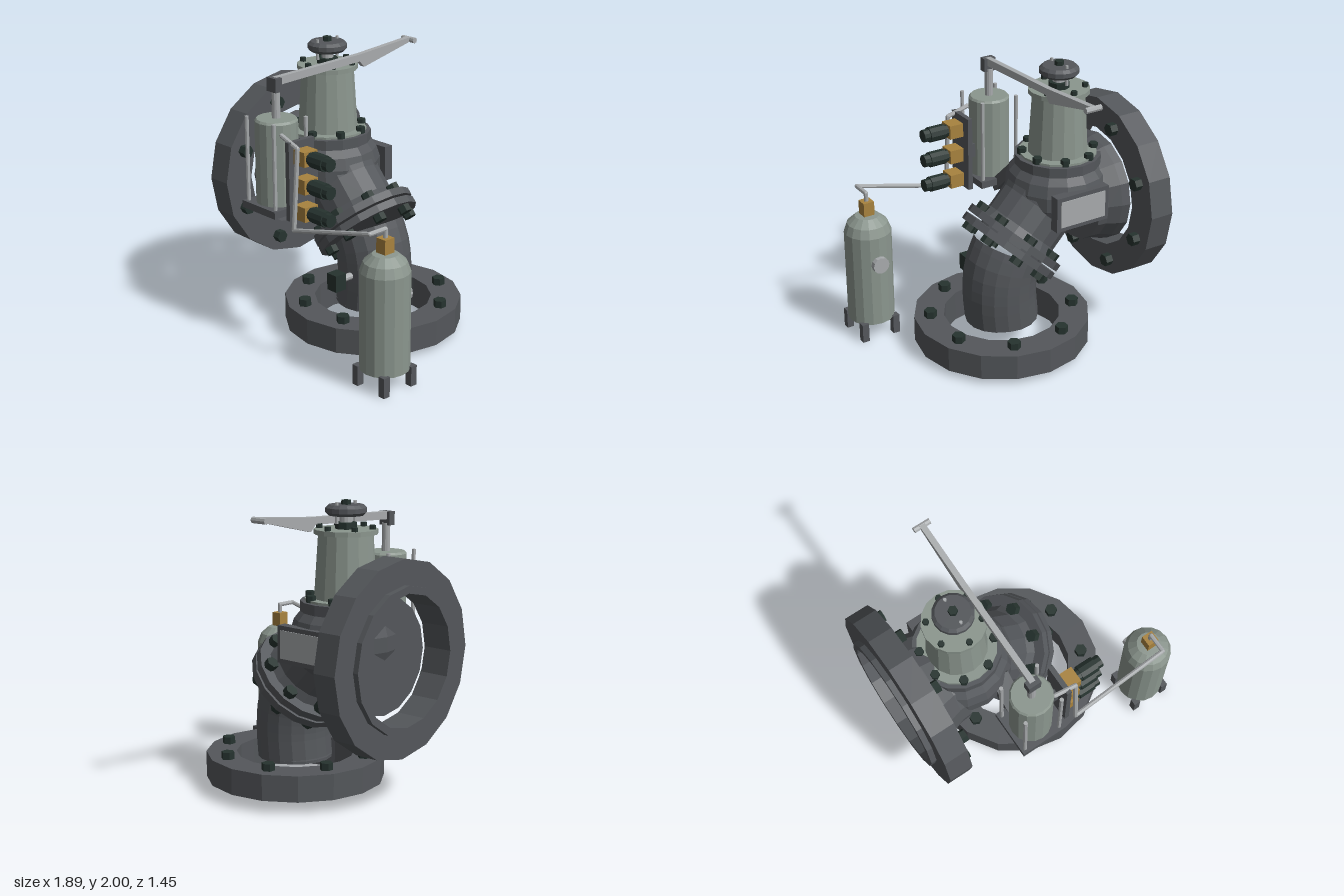
import * as THREE from 'three';

const mat = (name, color) => {
  const m = new THREE.MeshStandardMaterial({ color });
  m.name = name;
  return m;
};

export function createModel() {
  const steel = mat('darkSteel', 0x54575b);
  const green = mat('paleGreen', 0x8b968e);
  const black = mat('boltBlack', 0x26332f);
  const brass = mat('brass', 0xa8833f);
  const light = mat('brightMetal', 0xa8abad);
  const root = new THREE.Group();
  root.name = 'pipeValve';
  const CZ = -0.065, BX = -0.407;

  // faceted mesh helper
  const add = (parent, name, geo, material, x = 0, y = 0, z = 0) => {
    const g = geo.index ? geo.toNonIndexed() : geo;
    g.computeVertexNormals();
    const m = new THREE.Mesh(g, material);
    m.name = name;
    m.position.set(x, y, z);
    parent.add(m);
    return m;
  };
  const group = (name, x, y, z, rotZ = 0) => {
    const g = new THREE.Group();
    g.name = name;
    g.position.set(x, y, z);
    g.rotation.z = rotZ;
    root.add(g);
    return g;
  };
  const box = (p, n, m, w, h, d, x, y, z) => add(p, n, new THREE.BoxGeometry(w, h, d), m, x, y, z);
  // cylinder standing from y0 to y1
  const cyl = (p, n, m, r0, r1, y0, y1, x = 0, z = 0, seg = 16) =>
    add(p, n, new THREE.CylinderGeometry(r1, r0, y1 - y0, seg), m, x, (y0 + y1) / 2, z);
  const lathe = (p, n, m, pts, x = 0, y = 0, z = 0) =>
    add(p, n, new THREE.LatheGeometry(pts.map(a => new THREE.Vector2(...a)), 16), m, x, y, z);
  const ring = (p, n, m, ri, ro, y0, y1) =>
    lathe(p, n, m, [[ri, y0], [ro, y0], [ro, y1], [ri, y1], [ri, y0]]);
  const bolts = (p, n, count, R, size, y0, y1, phase) => {
    for (let i = 0; i < count; i++) {
      const a = phase + i * 2 * Math.PI / count;
      cyl(p, n, black, size, size, y0, y1, R * Math.sin(a), R * Math.cos(a), 6);
    }
  };
  const tube = (p, n, m, pts, r) => {
    const path = new THREE.CurvePath();
    const v = pts.map(a => new THREE.Vector3(...a));
    for (let i = 1; i < v.length; i++) path.add(new THREE.LineCurve3(v[i - 1], v[i]));
    path.curves.forEach(c => add(p, n, new THREE.TubeGeometry(c, 1, r, 8), m));
    v.forEach(q => add(p, n + 'Joint', new THREE.SphereGeometry(r, 8, 6), m, q.x, q.y, q.z));
  };

  // large pipe flanges with raised faces
  const flange = (g, ro, ri, rf, t) => {
    ring(g, 'flangeRing', steel, ri, ro, 0, t);
    ring(g, 'raisedFace', steel, ri, rf, t, t + 0.04);
  };
  const bottom = group('bottomFlange', 0.05, 0.22, CZ, Math.PI);
  flange(bottom, 0.62, 0.41, 0.455, 0.18);
  bolts(bottom, 'flangeBolt', 8, 0.505, 0.045, -0.05, 0.01, Math.PI / 8);
  const side = group('inletFlange', -0.73, 1.005, CZ, Math.PI / 2);
  flange(side, 0.66, 0.44, 0.49, 0.175);
  bolts(side, 'flangeBolt', 8, 0.545, 0.045, -0.055, 0.01, Math.PI / 8);

  // inlet neck and valve body
  lathe(side, 'inletNeck', steel, [[0, -0.2], [0.35, -0.2], [0.355, -0.13], [0.385, -0.04], [0.395, 0.02], [0, 0.02]]);
  lathe(root, 'valveBody', steel, [[0, 0.79], [0.2, 0.82], [0.32, 0.92], [0.365, 1.04], [0.365, 1.14],
    [0.34, 1.22], [0.3, 1.27], [0.3, 1.34], [0, 1.34]], BX, 0, CZ);

  // outlet elbow
  const bend = new THREE.CatmullRomCurve3([[0.052, 0.2], [0.068, 0.4], [0.05, 0.58], [-0.01, 0.715]]
    .map(([x, y]) => new THREE.Vector3(x, y, CZ)));
  add(root, 'outletElbow', new THREE.TubeGeometry(bend, 8, 0.258, 18), steel);
  cyl(root, 'elbowEnd', steel, 0.258, 0.258, 0.19, 0.21, 0.052, CZ, 18);

  // slanted bolted joint
  const joint = group('slantedJoint', -0.03, 0.745, CZ, 0.75);
  cyl(joint, 'lowerJointFlange', steel, 0.375, 0.375, -0.06, -0.008);
  cyl(joint, 'upperJointFlange', steel, 0.375, 0.375, 0.008, 0.06);
  cyl(joint, 'jointGasket', steel, 0.25, 0.25, -0.01, 0.01);
  lathe(joint, 'slantedNeck', steel, [[0.3, 0.05], [0.27, 0.12], [0.27, 0.3], [0.3, 0.42], [0, 0.46]]);
  bolts(joint, 'jointBolt', 8, 0.31, 0.045, -0.11, -0.05, Math.PI / 8);
  bolts(joint, 'jointBolt', 8, 0.31, 0.045, 0.05, 0.11, Math.PI / 8);

  // bonnet, stem and handwheel
  const top = group('bonnetAssembly', BX, 0, CZ);
  bolts(top, 'bodyBolt', 8, 0.25, 0.032, 1.33, 1.385, Math.PI / 8);
  cyl(top, 'bonnetBase', green, 0.27, 0.27, 1.335, 1.355);
  cyl(top, 'bonnet', green, 0.208, 0.182, 1.35, 1.78);
  cyl(top, 'bonnetTop', green, 0.212, 0.212, 1.78, 1.812);
  bolts(top, 'bonnetBolt', 6, 0.177, 0.022, 1.81, 1.84, 0);
  cyl(top, 'stemNut', black, 0.072, 0.072, 1.81, 1.855, 0, 0, 8);
  cyl(top, 'stem', light, 0.042, 0.042, 1.85, 1.92, 0, 0, 12);
  lathe(top, 'handwheel', steel, [[0, 1.9], [0.115, 1.9], [0.136, 1.92], [0.136, 1.95], [0.115, 1.97], [0, 1.97]]);
  cyl(top, 'wheelNut', black, 0.032, 0.032, 1.965, 2, 0, 0, 6);
  for (const s of [-1, 1]) cyl(top, 'wheelPin', light, 0.011, 0.011, 1.85, 1.99, 0, s * 0.09, 8);

  // rear plate on the body
  box(root, 'plateFrame', steel, 0.42, 0.25, 0.07, -0.36, 1.065, -0.41);
  box(root, 'plateFace', light, 0.36, 0.19, 0.008, -0.36, 1.065, -0.447);

  // actuator cylinder with tie rods
  const act = group('actuator', -0.235, 0, 0.55);
  box(act, 'actuatorBase', steel, 0.335, 0.05, 0.34, 0, 0.98, 0);
  lathe(act, 'actuatorCylinder', green, [[0, 1], [0.145, 1], [0.145, 1.57], [0.133, 1.585], [0, 1.585]]);
  for (const x of [-1, 1]) for (const z of [-1, 1])
    cyl(act, 'tieRod', light, 0.014, 0.014, 1, 1.595, x * 0.138, z * 0.138, 8);
  cyl(act, 'pistonRod', light, 0.029, 0.029, 1.58, 1.78, 0, 0, 12);
  box(act, 'clevis', steel, 0.09, 0.095, 0.055, 0, 1.813, 0.01);
  const strut = box(root, 'actuatorStrut', steel, 0.13, 0.08, 0.34, -0.26, 1.04, 0.32);
  strut.rotation.x = 0.75;

  // lever, drawn in side profile and extruded across its width
  const profile = [[0.575, 1.805], [0.575, 1.86], [-0.2, 1.885], [-0.69, 1.925], [-0.69, 1.895], [-0.235, 1.79], [-0.19, 1.835]];
  const shape = new THREE.Shape(profile.map(([z, y]) => new THREE.Vector2(-z, y)));
  const lever = add(root, 'lever', new THREE.ExtrudeGeometry(shape, { depth: 0.04, bevelEnabled: false }), light, -0.255);
  lever.rotation.y = Math.PI / 2;
  const grip = cyl(root, 'leverCrossbar', light, 0.021, 0.021, -0.06, 0.06, 0, 0, 8);
  grip.position.set(-0.237, 1.905, -0.69);
  grip.rotation.z = Math.PI / 2;

  // valve manifold
  box(root, 'manifoldPlate', steel, 0.035, 0.54, 0.22, -0.008, 1.215, 0.545);
  box(root, 'manifoldBracket', steel, 0.1, 0.1, 0.05, -0.065, 1.2, 0.54);
  for (const y of [1.385, 1.195, 1.005]) {
    const unit = group('pilotValve', 0, y, 0.557, -Math.PI / 2);
    box(unit, 'brassBlock', brass, 0.1, 0.105, 0.115, 0, 0.062, 0);
    cyl(unit, 'pilotCollar', black, 0.045, 0.045, 0.11, 0.15, 0, 0, 10);
    cyl(unit, 'pilotCoil', black, 0.055, 0.055, 0.14, 0.26, 0, 0, 10);
    cyl(unit, 'pilotTip', black, 0.045, 0.045, 0.26, 0.305, 0, 0, 10);
  }

  // thin control pipe
  tube(root, 'controlPipe', light, [[-0.1, 1.505, 0.62], [0.06, 1.455, 0.625], [0.06, 0.9, 0.665],
    [0.775, 1.08, 0.665], [0.775, 1.08, 0.53], [0.775, 1, 0.53]], 0.016);

  // accumulator tank on legs
  const tank = group('tank', 0.775, 0, 0.53);
  lathe(tank, 'tankShell', green, [[0, 0.125], [0.166, 0.125], [0.166, 0.8], [0.142, 0.865], [0.085, 0.915], [0, 0.922]]);
  for (const x of [-1, 1]) for (const z of [-1, 1])
    box(tank, 'tankLeg', steel, 0.05, 0.14, 0.05, x * 0.122, 0.07, z * 0.122);
  box(tank, 'tankFitting', brass, 0.08, 0.1, 0.08, 0, 0.972, 0);
  const port = cyl(tank, 'tankPort', light, 0.06, 0.06, -0.03, 0.03, 0, 0, 12);
  port.position.set(0, 0.6, -0.163);
  port.rotation.x = Math.PI / 2;

  // sensor on the elbow
  box(root, 'sensorBox', black, 0.09, 0.12, 0.09, 0.09, 0.445, 0.318);
  const neck = cyl(root, 'sensorNeck', light, 0.025, 0.025, -0.06, 0.06, 0, 0, 10);
  neck.position.set(0.09, 0.445, 0.23);
  neck.rotation.x = Math.PI / 2;

  return root;
}
